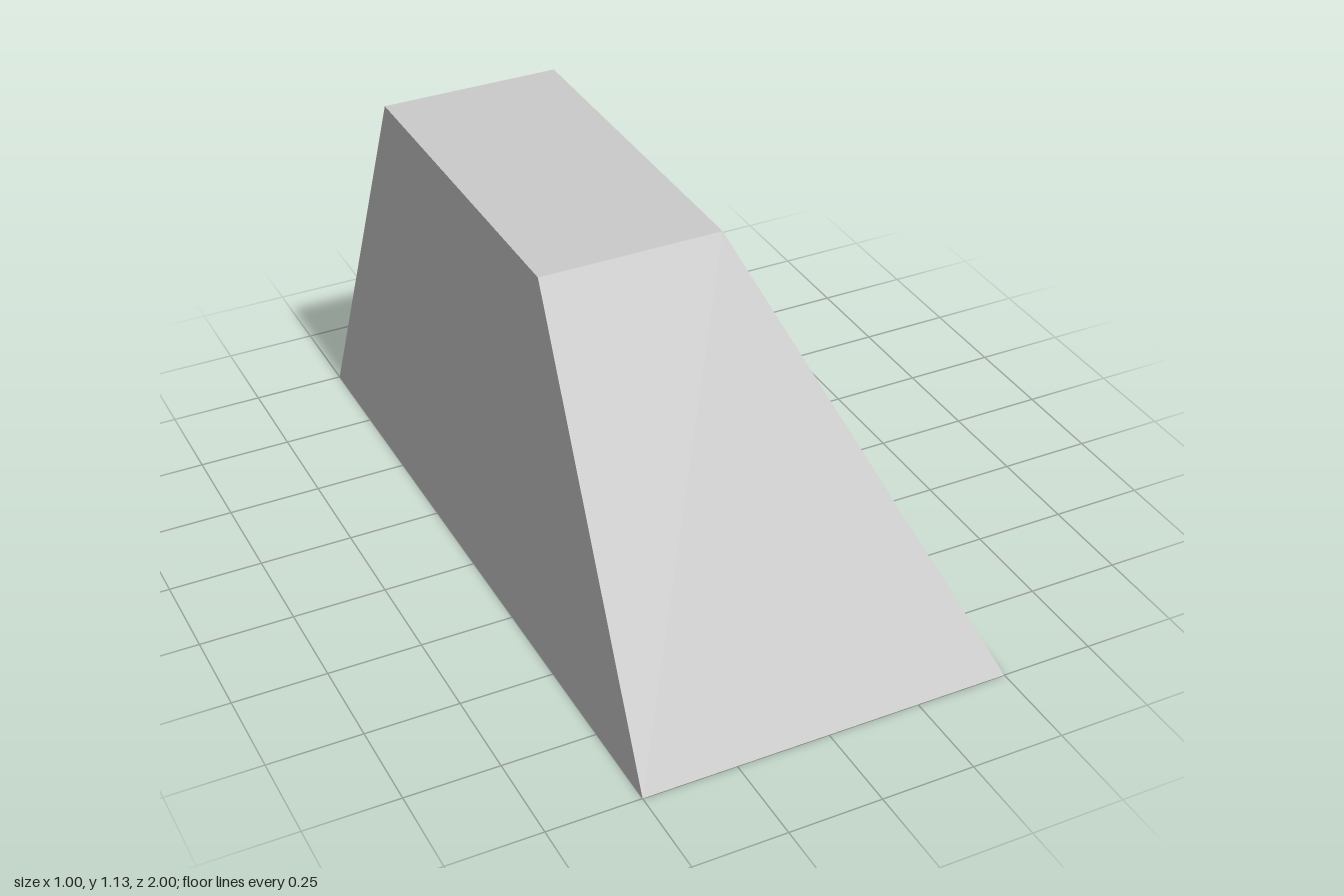
import * as THREE from 'three';

const HEIGHT = 1.13;
const TOP_X = -0.03; // x of the top's sloped edge
const TOP_Z = 0.47; // half depth of the top

export function createModel() {
  const group = new THREE.Group();
  group.name = 'taperedBlock';

  // Box whose top is drawn in on three sides; the -x side stays vertical
  const geometry = new THREE.BoxGeometry(1, HEIGHT, 2);
  geometry.translate(0, HEIGHT / 2, 0);
  const position = geometry.attributes.position;
  for (let i = 0; i < position.count; i++) {
    if (position.getY(i) < HEIGHT / 2) continue;
    if (position.getX(i) > 0) position.setX(i, TOP_X);
    position.setZ(i, Math.sign(position.getZ(i)) * TOP_Z);
  }
  geometry.computeVertexNormals();

  const material = new THREE.MeshStandardMaterial({ color: 0xcccccc, flatShading: true });
  const block = new THREE.Mesh(geometry, material);
  block.name = 'block';
  group.add(block);
  return group;
}
